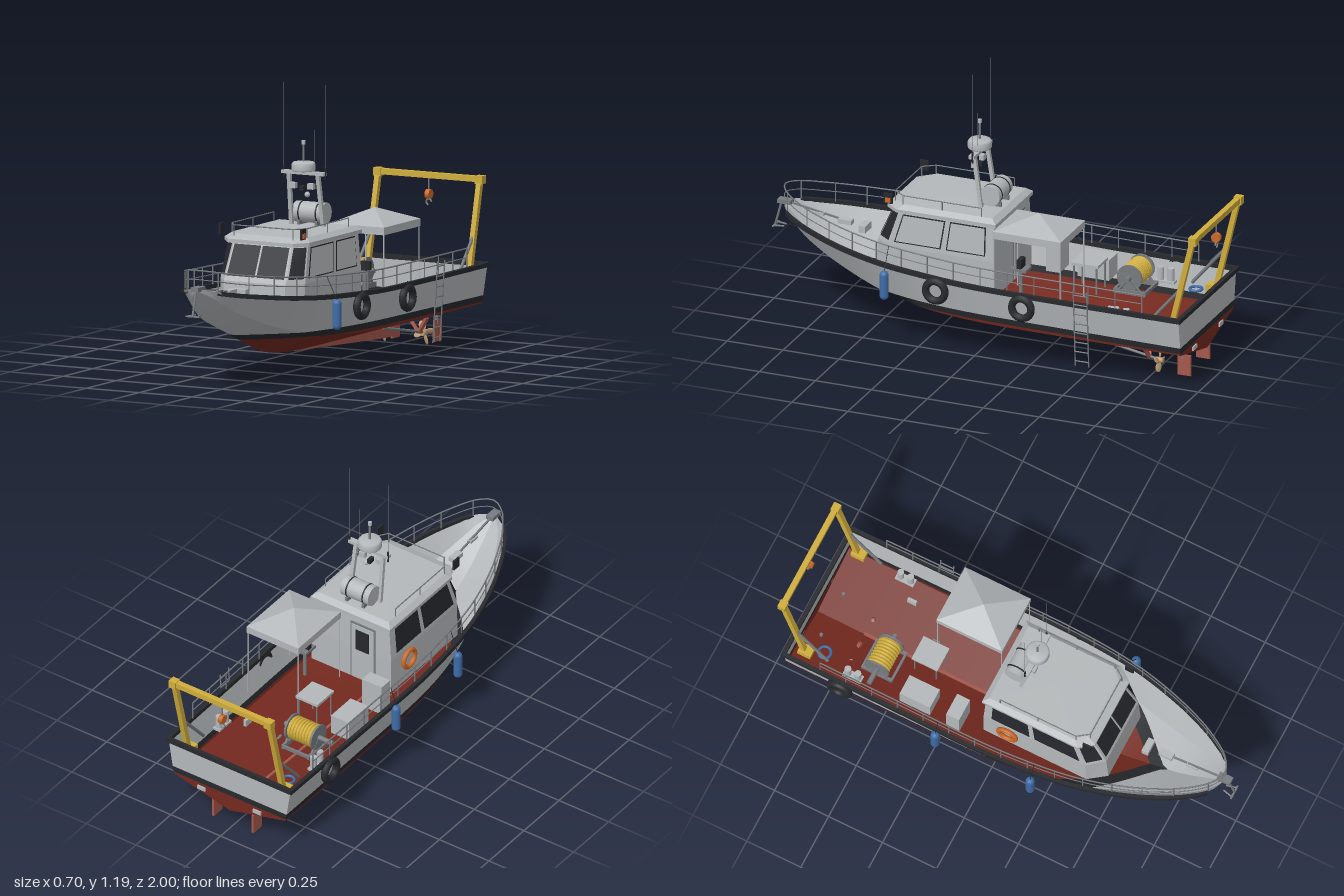
import * as THREE from 'three';

const paint = (name, color) => Object.assign(new THREE.MeshStandardMaterial({ color, side: THREE.DoubleSide }), { name });
const V = (x, y, z) => new THREE.Vector3(x, y, z);
const UP = V(0, 1, 0), BASE = 0.25; // BASE: height at which the fittings stand

// Hull stations: z | half beam, sheer height, chine half width, chine height, keel height
const stations = [
  [-0.935, 0.308, 0.335, 0.282, 0.165, 0.095], [-0.4, 0.313, 0.338, 0.282, 0.165, 0.085],
  [0, 0.317, 0.345, 0.278, 0.17, 0.083], [0.2, 0.308, 0.355, 0.26, 0.18, 0.088],
  [0.4, 0.285, 0.367, 0.22, 0.205, 0.115], [0.6, 0.235, 0.385, 0.165, 0.255, 0.188],
  [0.75, 0.178, 0.405, 0.12, 0.31, 0.257], [0.85, 0.125, 0.42, 0.082, 0.36, 0.335],
  [0.92, 0.07, 0.435, 0.042, 0.41, 0.4], [0.955, 0.006, 0.445, 0.004, 0.435, 0.43]];
const spline = new THREE.CubicInterpolant(
  new Float32Array(stations.map(s => s[0])), new Float32Array(stations.flatMap(s => s.slice(1))), 5);
function section(z) {
  const [beam, sheer, chineX, chineY, keel] = spline.evaluate(z);
  return { beam, sheer, chineX, chineY, keel };
}
function hullX(s, y) {
  if (y <= s.keel) return 0;
  if (y < s.chineY) return s.chineX * (y - s.keel) / (s.chineY - s.keel);
  return THREE.MathUtils.lerp(s.chineX, s.beam, Math.min(1, (y - s.chineY) / (s.sheer - s.chineY)));
}
// Heights that separate bottom paint, waterline stripe and topsides
function levels(z) {
  const s = section(z), c = THREE.MathUtils.clamp, w0 = 0.172 + 0.0107 * (z + 0.94), w1 = w0 + 0.027;
  return [s.keel, c(s.chineY, s.keel, Math.max(w0, s.keel)), w0, w1, c(s.chineY, w1, s.sheer), s.sheer]
    .map(y => { y = Math.max(y, s.keel); return [hullX(s, y), y]; });
}
const range = (a, b, n) => Array.from({ length: n + 1 }, (_, i) => a + (b - a) * i / n);

// Surface through rows of points
function grid(rows, flat = false) {
  const n = rows[0].length, idx = [];
  for (let i = 0; i < rows.length - 1; i++) for (let j = 0; j < n - 1; j++) {
    const a = i * n + j, b = a + n;
    idx.push(a, a + 1, b + 1, a, b + 1, b);
  }
  let g = new THREE.BufferGeometry().setFromPoints(rows.flat());
  g.setIndex(idx);
  if (flat) g = g.toNonIndexed();
  g.computeVertexNormals();
  return g;
}

export function createModel() {
  const root = new THREE.Group();
  root.name = 'workboat';
  const grey = paint('light grey', 0xb4b8ba), red = paint('oxide red', 0x74291f), black = paint('rubber black', 0x27292d),
    glass = paint('dark glass', 0x26282e), steel = paint('steel', 0x777b7f), yellow = paint('yellow', 0xd0ad3c),
    blue = paint('fender blue', 0x3f6da8), orange = paint('orange', 0xcc6a28), bronze = paint('bronze', 0xbd9c74),
    pink = paint('faded red', 0xa5574b);

  const add = (name, geo, mat, x = 0, y = 0, z = 0) => {
    const m = new THREE.Mesh(geo, mat);
    m.name = name; m.position.set(x, y, z); root.add(m);
    return m;
  };
  const box = (name, mat, w, h, d, x, y, z) => add(name, new THREE.BoxGeometry(w, h, d), mat, x, y, z);
  const cyl = (name, mat, r, h, x, y, z, axis = 'y') => {
    const g = new THREE.CylinderGeometry(r, r, h, 20);
    if (axis === 'x') g.rotateZ(Math.PI / 2);
    if (axis === 'z') g.rotateX(Math.PI / 2);
    return add(name, g, mat, x, y, z);
  };
  const strut = (name, mat, a, b, r, square = false) => {
    const d = b.clone().sub(a), l = d.length();
    const m = add(name, square ? new THREE.BoxGeometry(2 * r, l, 2 * r) : new THREE.CylinderGeometry(r, r, l, 8), mat);
    m.position.copy(a).add(b).multiplyScalar(0.5);
    m.quaternion.setFromUnitVectors(UP, d.normalize());
    return m;
  };
  const pipe = (name, mat, pts, r, n) => add(name, new THREE.TubeGeometry(new THREE.CatmullRomCurve3(pts), n, r, 6), mat);
  const ring = (name, mat, R, r, x, y, z) => {
    add(name, new THREE.TorusGeometry(R, r, 10, 28), mat, x, y, z).rotation.y = Math.PI / 2;
  };

  // Open hull shell, painted alike inside and out, with transom and rubbing strip
  const zs = range(-0.935, 0.955, 70), bands = [red, red, black, grey, grey];
  const bandNames = ['hullBottom', 'hullChine', 'waterlineStripe', 'topsideLower', 'topsideUpper'];
  bands.forEach((mat, k) => {
    for (const s of [-1, 1])
      add(bandNames[k], grid(zs.map(z => levels(z).slice(k, k + 2).map(([x, y]) => V(s * x, y, z)))), mat);
    add('transom', grid(levels(-0.935).slice(k, k + 2).map(([x, y]) => [V(-x, y, -0.935), V(x, y, -0.935)])), mat);
  });
  for (const s of [-1, 1])
    add('rubbingStrip', grid(range(-0.935, 0.912, 60).map(z => {
      const { beam: b, sheer: y } = section(z), i = b - 0.008;
      return [[i, y - 0.016], [b + 0.009, y - 0.016], [b + 0.009, y + 0.003], [i, y + 0.003], [i, y - 0.016]].map(p => V(s * p[0], p[1], z));
    }), true), black);
  box('transomCap', black, 0.634, 0.019, 0.018, 0, 0.3285, -0.936);

  // Keel fin, shafts, propellers and rudders
  const fin = new THREE.Shape([[-0.15, 0.085], [0.3, 0.09], [0.72, 0.1], [0.72, 0.04], [0.6, 0.042]].map(p => new THREE.Vector2(...p)));
  add('keelFin', new THREE.ExtrudeGeometry(fin, { depth: 0.012, bevelEnabled: false }).rotateY(Math.PI / 2).translate(-0.006, 0, 0), pink);
  for (const s of [-1, 1]) {
    const x = 0.004 + s * 0.1;
    strut('propShaft', steel, V(x, 0.115, -0.42), V(x, 0.052, -0.775), 0.006);
    for (const d of [-0.045, 0.045]) strut('shaftBracket', pink, V(x + d, 0.125, -0.71), V(x, 0.058, -0.72), 0.007, true);
    cyl('propHub', bronze, 0.012, 0.035, x, 0.052, -0.765, 'z');
    for (let i = 0; i < 4; i++) {
      const g = new THREE.SphereGeometry(1, 12, 8).scale(0.015, 0.022, 0.004).rotateY(0.6).translate(0, 0.03, 0).rotateZ(i * Math.PI / 2 + 0.3);
      add('propBlade', g, bronze, x, 0.052, -0.765);
    }
    box('rudder', pink, 0.01, 0.09, 0.06, x, 0.048, -0.877);
    cyl('rudderStock', steel, 0.007, 0.06, x, 0.105, -0.87);
    box('transomAnode', grey, 0.04, 0.018, 0.006, s * 0.14, 0.15, -0.938);
  }

  // Wheelhouse shell with raked front
  const plan = (x, aft, cz, fx, fz, y) => [V(-x, y, aft), V(-x, y, cz), V(-fx, y, fz), V(fx, y, fz), V(x, y, cz), V(x, y, aft), V(-x, y, aft)];
  const low = plan(0.2, -0.065, 0.405, 0.145, 0.475, 0.41), top = plan(0.187, -0.06, 0.355, 0.137, 0.4, 0.575);
  add('wheelhouse', grid([plan(0.2, -0.065, 0.41, 0.145, 0.485, BASE), low, top], true), grey);
  const pane = (name, f, u0, u1, inset = 0, mat = glass) => {
    const out = low[f + 1].clone().sub(low[f]).cross(top[f].clone().sub(low[f])).normalize().multiplyScalar(inset ? 0.005 : 0.003);
    const at = (u, v) => low[f].clone().lerp(low[f + 1], u).lerp(top[f].clone().lerp(top[f + 1], u), v).add(out);
    const [a, b, c, d] = [u0 + inset, u1 - inset, 0.12 + 2.5 * inset, 0.88 - 2.5 * inset];
    add(name, grid([[at(a, c), at(b, c)], [at(a, d), at(b, d)]]), mat);
  };
  pane('windscreen', 2, 0.03, 0.485); pane('windscreen', 2, 0.515, 0.97);
  pane('cornerWindow', 1, 0.1, 0.9); pane('cornerWindow', 3, 0.1, 0.9);
  pane('sideWindow', 0, 0.51, 0.96); pane('sideWindow', 0, 0.08, 0.46);
  for (const [a, b] of [[0.04, 0.49], [0.54, 0.92]]) {
    pane('shutterFrame', 4, a, b);
    pane('shutter', 4, a, b, 0.012, grey);
  }
  box('doorFrame', steel, 0.122, 0.282, 0.005, -0.06, 0.394, -0.066);
  box('door', grey, 0.11, 0.27, 0.008, -0.06, 0.391, -0.068);
  box('doorWindow', glass, 0.065, 0.1, 0.004, -0.06, 0.455, -0.073);
  // Roof with a rim and a shallow crown
  const centre = y => plan(0, 0.17, 0.17, 0, 0.17, y);
  add('roof', grid([centre(0.562), plan(0.2, -0.073, 0.37, 0.155, 0.428, 0.562), plan(0.2, -0.073, 0.37, 0.155, 0.428, 0.577),
    plan(0.178, -0.05, 0.345, 0.14, 0.385, 0.595), centre(0.597)], true), grey);

  // Roof rail and running lights
  const railPts = plan(0.176, 0, 0.35, 0.14, 0.4, 0.632).slice(0, 6);
  railPts.forEach((p, i) => {
    strut('roofRailPost', steel, V(p.x, 0.58, p.z), p, 0.0025);
    if (i) strut('roofRail', steel, railPts[i - 1], p, 0.0025);
  });
  for (const s of [-1, 1]) {
    strut('roofRailPost', steel, V(s * 0.176, 0.58, 0.175), V(s * 0.176, 0.632, 0.175), 0.0025);
    box('runningLightBox', black, 0.008, 0.045, 0.038, s * 0.192, 0.617, 0.41);
  }
  box('runningLight', orange, 0.004, 0.02, 0.022, 0.198, 0.61, 0.41);
  // Life raft canister
  cyl('raftCanister', grey, 0.044, 0.14, 0.006, 0.645, 0.005, 'x');
  for (const x of [-0.035, 0.047]) {
    cyl('raftStrap', black, 0.0455, 0.006, x, 0.645, 0.005, 'x');
    box('raftCradle', steel, 0.012, 0.025, 0.08, x, 0.602, 0.005);
  }
  // Mast with radar and aerials
  for (const s of [-1, 1]) {
    strut('mastLeg', grey, V(0.006 + s * 0.075, 0.585, 0.04), V(0.006 + s * 0.068, 0.815, 0.075), 0.008, true);
    box('mastLamp', grey, 0.028, 0.024, 0.02, 0.006 + s * 0.042, 0.765, 0.085);
    const x = 0.008 + s * 0.098;
    cyl('aerialBase', black, 0.004, 0.05, x, 0.82, 0.07);
    strut('whipAerial', steel, V(x, 0.8, 0.07), V(x, 1.19, 0.07), 0.0015);
  }
  box('mastCrossbar', grey, 0.2, 0.014, 0.025, 0.008, 0.818, 0.075);
  box('mastHorn', black, 0.016, 0.02, 0.03, 0.006, 0.755, 0.08);
  add('mastSpotlight', new THREE.SphereGeometry(0.012, 14, 10), grey, 0.03, 0.73, 0.085);
  add('radarDome', new THREE.LatheGeometry([[0, 0], [0.048, 0], [0.05, 0.004], [0.05, 0.027], [0.044, 0.036], [0, 0.04]].map(p => new THREE.Vector2(...p)), 28), grey, 0.008, 0.827, 0.078);
  cyl('mastTopPole', steel, 0.005, 0.08, 0.008, 0.905, 0.078);
  cyl('mastTopLight', grey, 0.008, 0.016, 0.008, 0.945, 0.078);
  strut('shortAerial', steel, V(0.056, 0.82, 0.07), V(0.056, 1.0, 0.07), 0.0015);

  // Work canopy
  const rim = (x, z, y) => [[-1, -1], [1, -1], [1, 1], [-1, 1], [-1, -1]].map(([a, b]) => V(0.16 + a * x, y, -0.25 + b * z));
  add('canopy', grid([rim(0.13, 0.152, 0.555), rim(0.13, 0.152, 0.587), rim(0.0005, 0.0005, 0.645)], true), grey);
  for (const p of rim(0.126, 0.148, 0).slice(0, 4)) strut('canopyPost', grey, V(p.x, BASE, p.z), V(p.x, 0.58, p.z), 0.003);

  // Stern gantry with hook
  for (const s of [-1, 1]) {
    const x = 0.009 + s * 0.24;
    strut('gantryLeg', yellow, V(x, BASE, -0.875), V(x, 0.67, -0.975), 0.011, true);
    box('gantryCorner', yellow, 0.034, 0.034, 0.034, x, 0.672, -0.978);
    box('gantryFoot', yellow, 0.045, 0.03, 0.06, x, 0.265, -0.87);
    strut('gantryRam', steel, V(x, 0.27, -0.77), V(x, 0.44, -0.915), 0.007);
  }
  box('gantryBeam', yellow, 0.48, 0.024, 0.024, 0.009, 0.674, -0.978);
  strut('hookCable', steel, V(0.006, 0.66, -0.978), V(0.006, 0.6, -0.978), 0.003);
  cyl('hookBlock', orange, 0.02, 0.02, 0.006, 0.595, -0.978, 'x');
  add('hook', new THREE.TorusGeometry(0.012, 0.004, 8, 16, 4.4), steel, 0.006, 0.562, -0.978);

  // Guard rails around the bow
  const railPath = h => {
    const side = s => range(-0.77, 0.92, 16).map(z => V(s * (section(z).beam - 0.008), section(z).sheer + h, z));
    return [...side(-1), V(0, 0.442 + h, 0.95), ...side(1).reverse()];
  };
  pipe('topRail', steel, railPath(0.08), 0.0032, 140);
  pipe('middleRail', steel, railPath(0.042), 0.0022, 140);
  for (const s of [-1, 1]) for (const z of range(-0.77, 0.91, 14)) {
    const c = section(z), x = s * (c.beam - 0.008);
    strut('railPost', steel, V(x, c.sheer, z), V(x, c.sheer + 0.08, z), 0.003);
  }

  // Anchor gear on the bow
  box('windlassBase', grey, 0.065, 0.03, 0.03, 0, 0.385, 0.595);
  box('windlass', grey, 0.03, 0.02, 0.06, 0, 0.398, 0.68);
  box('anchorChain', steel, 0.008, 0.006, 0.25, 0, 0.424, 0.82).rotation.x = -0.17;
  box('chainGuide', grey, 0.02, 0.012, 0.05, 0, 0.414, 0.8);
  box('bowRoller', steel, 0.035, 0.018, 0.06, 0, 0.445, 0.95);
  strut('anchorShank', steel, V(0, 0.445, 0.965), V(0, 0.338, 0.994), 0.005);
  box('anchorStock', steel, 0.064, 0.006, 0.008, 0, 0.335, 0.993);
  for (const s of [-1, 1]) strut('anchorFluke', steel, V(s * 0.022, 0.336, 0.992), V(s * 0.012, 0.336, 0.95), 0.004);

  // Fenders and tyres along the sides
  for (const [x, y, z] of [[0.33, 0.288, 0.37], [-0.335, 0.275, 0.22], [-0.335, 0.275, -0.22]]) {
    add('fender', new THREE.CapsuleGeometry(0.019, 0.09, 6, 16), blue, x, y, z);
    strut('fenderRope', black, V(x, y + 0.06, z), V(Math.sign(x) * (section(z).beam - 0.008), section(z).sheer + 0.08, z), 0.0015);
  }
  for (const [s, y, z] of [[1, 0.295, 0.145], [1, 0.28, -0.24], [-1, 0.28, -0.67]]) {
    ring('tyre', black, 0.043, 0.016, s * 0.322, y, z);
    strut('tyreRope', black, V(s * 0.325, y + 0.04, z), V(s * 0.32, 0.35, z), 0.002);
  }
  ring('lifeRing', orange, 0.04, 0.01, -0.211, 0.36, 0.05);

  // Boarding ladder
  for (const z of [-0.475, -0.535]) strut('ladderRail', steel, V(0.308, 0.06, z), V(0.33, 0.4, z), 0.003);
  for (const t of range(0.06, 0.94, 7)) strut('ladderRung', steel, V(0.308 + 0.022 * t, 0.06 + 0.34 * t, -0.475), V(0.308 + 0.022 * t, 0.06 + 0.34 * t, -0.535), 0.003);

  // Winch in its frame
  cyl('winchDrum', yellow, 0.046, 0.12, -0.12, 0.325, -0.565, 'x');
  for (const x of range(-0.17, -0.07, 7)) ring('winchCableTurn', yellow, 0.046, 0.006, x, 0.325, -0.565);
  for (const x of [-0.185, -0.055]) {
    cyl('winchFlange', steel, 0.056, 0.008, x, 0.325, -0.565, 'x');
    box('winchFoot', steel, 0.012, 0.02, 0.14, x, 0.26, -0.565);
    for (const z of [-0.06, 0.06]) strut('winchLeg', steel, V(x, BASE, -0.565 + z), V(x, 0.325, -0.565), 0.006);
  }
  for (const z of [-0.632, -0.498]) box('winchCrossbar', steel, 0.14, 0.014, 0.01, -0.12, 0.262, z);
  cyl('winchShaft', steel, 0.011, 0.24, -0.14, 0.325, -0.565, 'x');
  // Lockers, table and stool
  box('deckLocker', grey, 0.09, 0.09, 0.14, -0.2, 0.295, -0.36);
  box('wallLocker', grey, 0.1, 0.14, 0.06, -0.205, 0.32, -0.18);
  box('tableTop', grey, 0.11, 0.012, 0.12, -0.045, 0.375, -0.39);
  for (const dx of [-0.045, 0.045]) for (const dz of [-0.05, 0.05])
    strut('tableLeg', steel, V(-0.045 + dx, BASE, -0.39 + dz), V(-0.045 + dx, 0.375, -0.39 + dz), 0.004);
  cyl('stoolPost', steel, 0.008, 0.13, 0.16, 0.315, -0.17);
  box('stoolSeat', steel, 0.06, 0.012, 0.07, 0.16, 0.385, -0.17);
  box('stoolBack', black, 0.05, 0.04, 0.02, 0.16, 0.41, -0.17);
  box('deckVent', grey, 0.014, 0.03, 0.04, 0.16, 0.265, -0.58);
  // Mooring bollards and coiled hose
  for (const s of [-1, 1]) {
    box('bollardPlate', grey, 0.035, 0.01, 0.085, s * 0.238, BASE + 0.005, -0.65);
    for (const z of [-0.627, -0.673]) cyl('bollard', grey, 0.014, 0.06, s * 0.238, 0.285, z);
  }
  add('coiledHose', new THREE.TorusGeometry(0.026, 0.006, 8, 24).rotateX(Math.PI / 2), blue, -0.2, BASE + 0.008, -0.8);
  return root;
}
